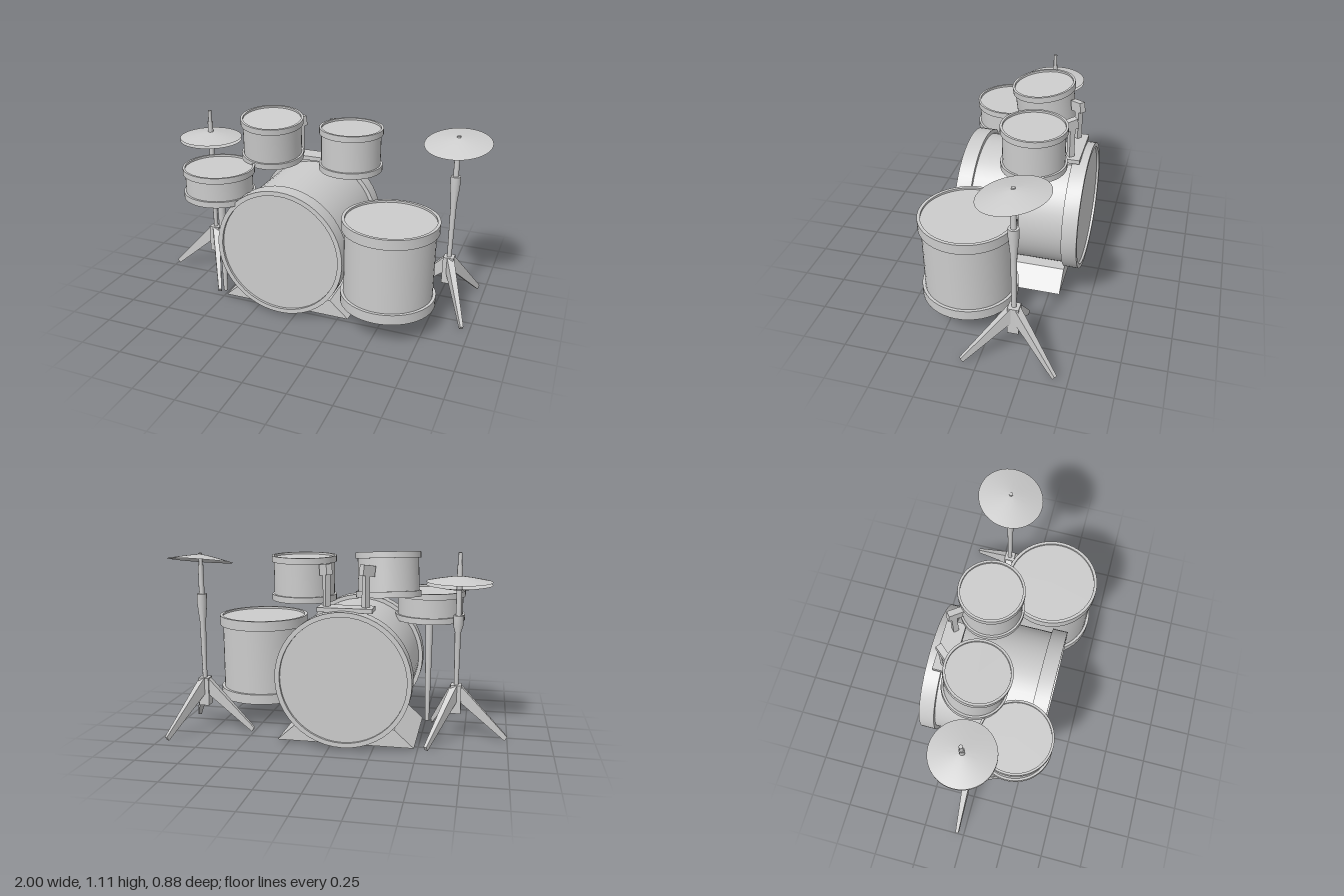
import * as THREE from 'three';
import { toCreasedNormals } from 'three/addons/utils/BufferGeometryUtils.js';

const grey = new THREE.MeshStandardMaterial({ color: 0xcccccc });
const thin = new THREE.MeshStandardMaterial({ color: 0xcccccc, side: THREE.DoubleSide });

function add(parent, name, geometry, x = 0, y = 0, z = 0, material = grey) {
  const mesh = new THREE.Mesh(geometry, material);
  mesh.name = name;
  mesh.position.set(x, y, z);
  parent.add(mesh);
  return mesh;
}

function lathe(points, segments = 48) {
  const profile = points.map(([r, y]) => new THREE.Vector2(r, y));
  return toCreasedNormals(new THREE.LatheGeometry(profile, segments), 0.5);
}

// Closed drum: recessed heads, raised hoops and a straight shell, centred on its axis
function drum(radius, shell, inner, height, hoop, recess = 0.012) {
  const h = height / 2;
  const half = [[0, h - recess], [inner, h - recess], [inner, h], [radius, h], [radius, h - hoop], [shell, h - hoop]];
  const lower = half.map(([r, y]) => [r, -y]);
  return lathe([...lower, ...half.reverse()]);
}

// Shallow cymbal dome; its rim lies at y = 0
function cymbal(radius, rise) {
  const profile = [];
  for (let i = 0; i <= 8; i++) {
    const t = 1 - i / 8;
    profile.push([radius * t, rise * (1 - Math.pow(t, 1.25))]);
  }
  return lathe(profile);
}

// One tapered tripod leg reaching along +x
function legGeometry() {
  const shape = new THREE.Shape([[0, 0.25], [0.29, 0.004], [0.305, 0.028], [0.025, 0.33]]
    .map(([x, y]) => new THREE.Vector2(x, y)));
  const geo = new THREE.ExtrudeGeometry(shape, { depth: 0.044, bevelEnabled: false });
  geo.translate(0, 0, -0.022);
  const p = geo.attributes.position;
  for (let i = 0; i < p.count; i++) p.setZ(i, p.getZ(i) * (1 - 1.9 * p.getX(i)));
  geo.computeVertexNormals();
  return geo;
}

// Tripod with hub and stepped post
function stand(name, x, z, collarBottom, collarTop, rodTop) {
  const g = new THREE.Group();
  g.name = name;
  g.position.set(x, 0, z);
  add(g, 'hub', new THREE.BoxGeometry(0.062, 0.17, 0.062), 0, 0.245, 0);
  const leg = legGeometry();
  for (let i = 0; i < 3; i++) {
    add(g, 'tripodLeg', leg).rotation.y = Math.PI + (i * Math.PI * 2) / 3;
  }
  add(g, 'post', lathe([
    [0, 0.3], [0.013, 0.3], [0.018, collarBottom], [0.029, collarTop - 0.06],
    [0.029, collarTop], [0.016, collarTop], [0.016, rodTop - 0.07],
    [0.011, rodTop - 0.07], [0.011, rodTop], [0, rodTop],
  ], 16));
  return g;
}

export function createModel() {
  const model = new THREE.Group();
  model.name = 'drumKit';

  // Bass drum lying along z, on a sloped cradle
  add(model, 'bassDrum', drum(0.387, 0.363, 0.36, 0.73, 0.09, 0.015), -0.085, 0.412, -0.035)
    .rotation.x = Math.PI / 2;
  const cradle = new THREE.Shape([[-0.398, 0.018], [0.398, 0.018], [0.285, 0.12], [-0.285, 0.12]]
    .map(([x, y]) => new THREE.Vector2(x, y)));
  add(model, 'bassDrumCradle', new THREE.ExtrudeGeometry(cradle, { depth: 0.56, bevelEnabled: false }),
    -0.083, 0, -0.315);

  // Floor tom, snare and the two mounted toms
  add(model, 'floorTom', drum(0.275, 0.258, 0.257, 0.515, 0.06), 0.527, 0.412, 0.163);
  add(model, 'snare', drum(0.21, 0.197, 0.197, 0.18, 0.035), -0.515, 0.76, 0.2);
  add(model, 'snarePost', new THREE.CylinderGeometry(0.024, 0.013, 0.66, 16), -0.512, 0.35, 0.2);
  add(model, 'leftTom', drum(0.187, 0.175, 0.173, 0.255, 0.035), 0.19, 0.948, -0.121);
  add(model, 'rightTom', drum(0.187, 0.175, 0.173, 0.255, 0.035), -0.293, 0.97, -0.077)
    .rotation.set(0.11, 0, -0.04);

  // Tom mount: plate with a foot, two uprights and tilted clamps
  add(model, 'mountPlate', new THREE.BoxGeometry(0.31, 0.025, 0.115), -0.088, 0.801, -0.298);
  add(model, 'mountFoot', new THREE.BoxGeometry(0.24, 0.06, 0.045), -0.088, 0.77, -0.288);
  for (const side of [-1, 1]) {
    const arm = new THREE.Group();
    arm.name = 'tomArm';
    arm.position.set(-0.088 + side * 0.11, 0, -0.295);
    arm.rotation.y = side * 0.7;
    add(arm, 'upright', new THREE.BoxGeometry(0.032, 0.22, 0.032), 0, 0.91, 0);
    add(arm, 'clamp', new THREE.BoxGeometry(0.036, 0.06, 0.085), 0, 1.015, 0.01).rotation.x = 0.15;
    model.add(arm);
  }

  // Hi-hat: two facing cymbals on a tripod
  const hiHat = stand('hiHatStand', -0.695, -0.043, 0.64, 0.74, 1.1);
  add(hiHat, 'topCymbal', cymbal(0.188, 0.033), 0, 0.934, 0, thin);
  add(hiHat, 'bottomCymbal', cymbal(0.188, 0.033), 0, 0.917, 0, thin).rotation.x = Math.PI;
  model.add(hiHat);

  // Crash cymbal, tipped towards the front
  const crash = stand('crashStand', 0.805, -0.17, 0.67, 0.84, 1.08);
  add(crash, 'crashCymbal', cymbal(0.191, 0.038), 0, 1.035, 0, thin).rotation.set(0.18, 0, 0.03);
  model.add(crash);

  return model;
}
